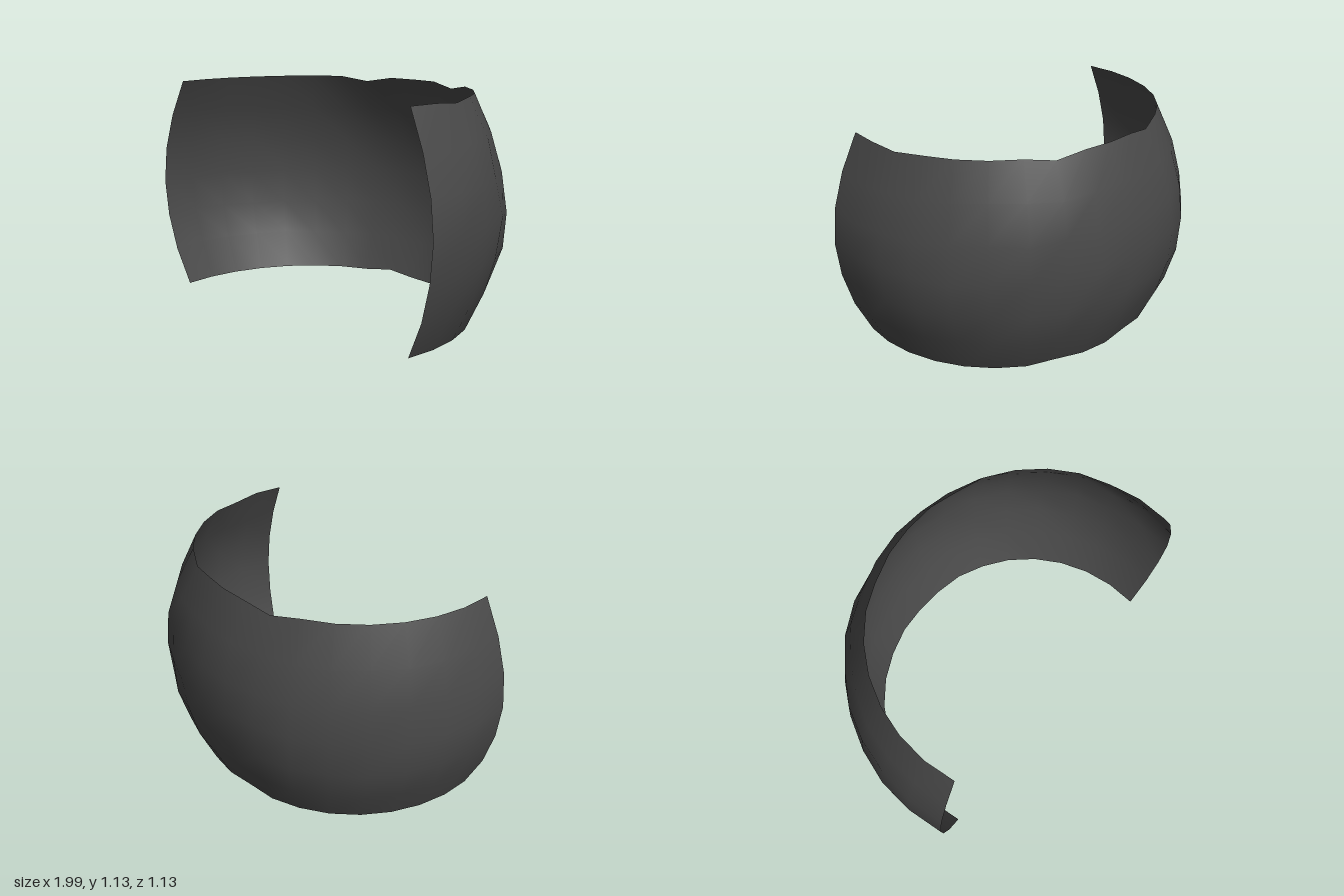
import * as THREE from 'three';

const COLUMNS = 18, ROWS = 6;
const HEIGHT = 1.13, CENTRE_Z = 0.395, HALF_SWEEP = THREE.MathUtils.degToRad(100);
// Radius of the bulging band at each row, bottom to top
const PROFILE = [0.832, 0.922, 0.975, 0.995, 0.975, 0.918, 0.83];
// Small nicks in the rims, as column: depth
const TOP_NICKS = { 2: 0.012, 7: 0.025, 11: 0.025 };
const BOTTOM_NICKS = { 7: 0.012, 10: 0.018 };

// Repeatable noise in -1..1 for the hand-hammered surface
function noise(i, j) {
  const s = Math.sin(i * 12.9898 + j * 78.233) * 43758.5453;
  return (s - Math.floor(s)) * 2 - 1;
}

// Thin open shell: a flat grid wrapped round the back and bulged outward
function bandGeometry() {
  const geometry = new THREE.PlaneGeometry(1, 1, COLUMNS, ROWS);
  const position = geometry.attributes.position;
  for (let k = 0; k < position.count; k++) {
    const i = k % (COLUMNS + 1);
    const j = ROWS - Math.floor(k / (COLUMNS + 1));
    const rim = j === 0 || j === ROWS;
    const end = i === 0 || i === COLUMNS;
    const angle = HALF_SWEEP * (1 - (2 * i) / COLUMNS);
    // Slightly flattened at the middle of the back
    let radius = PROFILE[j] - 0.028 * Math.max(0, Math.cos(angle)) ** 6;
    let y = (HEIGHT * j) / ROWS;
    if (!rim && !end) {
      radius += 0.009 * noise(i, j);
      y += 0.012 * noise(j + 5, i);
    }
    if (j === ROWS) y -= TOP_NICKS[i] ?? 0;
    if (j === 0) y += BOTTOM_NICKS[i] ?? 0;
    position.setXYZ(k, radius * Math.sin(angle), y, CENTRE_Z - radius * Math.cos(angle));
  }
  geometry.computeVertexNormals();
  return geometry;
}

export function createModel() {
  const group = new THREE.Group();
  group.name = 'cuff';
  // Dark gunmetal grey
  const material = new THREE.MeshStandardMaterial({ color: 0x484848, side: THREE.DoubleSide });
  const band = new THREE.Mesh(bandGeometry(), material);
  band.name = 'curvedBand';
  group.add(band);
  return group;
}
